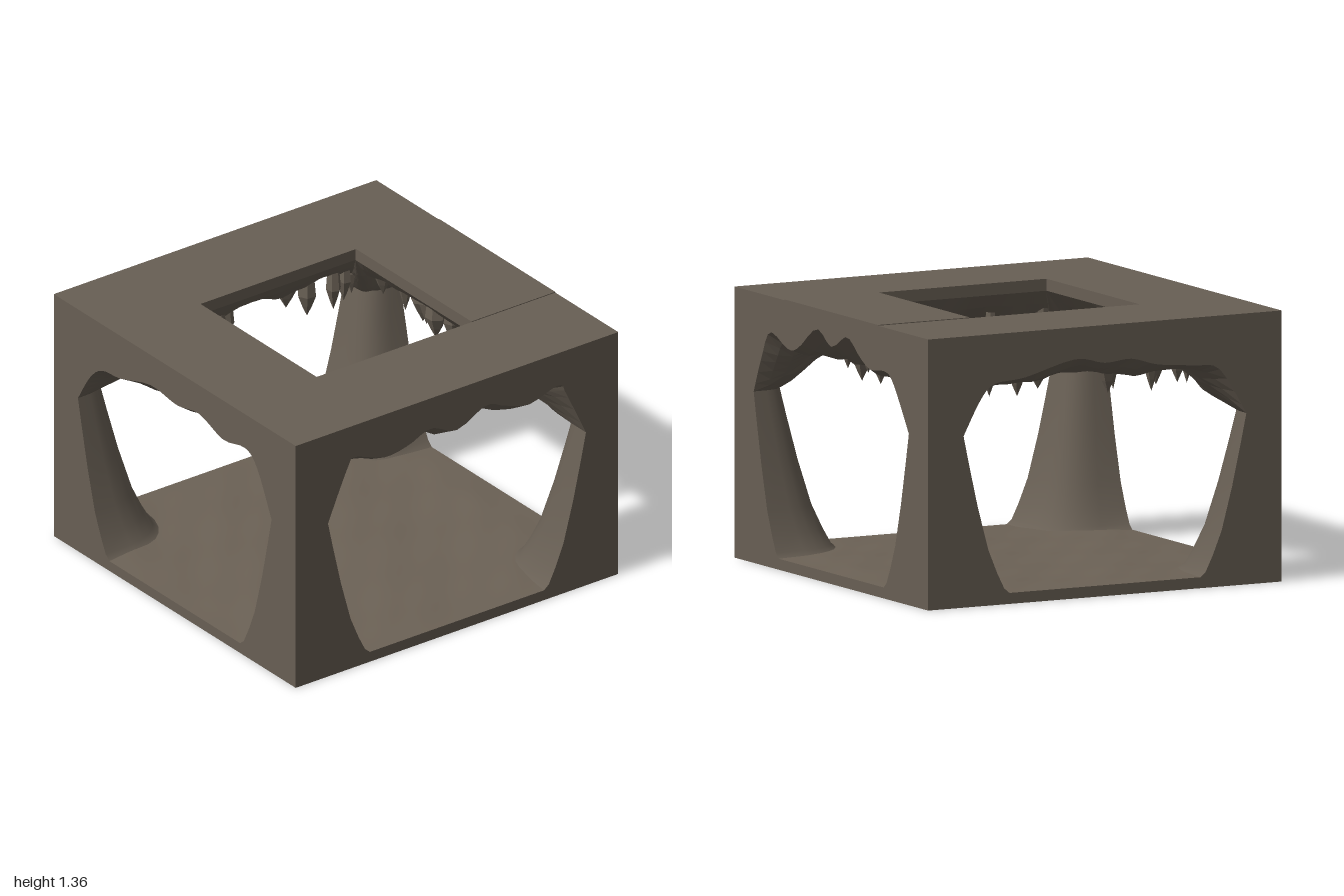
import * as THREE from 'three';

const HEIGHT = 1.36, HOLE = 0.48, LIP = 1.3, FLOOR = 0.055;
const SHOULDER = [0.8, 0.86];

// half width of every opening from the floor up to the shoulder
const JAMB = [[0.54, FLOOR], [0.57, 0.08], [0.61, 0.16], [0.66, 0.28], [0.72, 0.5], [0.77, 0.72], SHOULDER];

// ragged arch tops, seen from outside, left to right: front, +x side, back, -x side
const ARCHES = [
  [[-0.68, 1.13], [-0.63, 1.18], [-0.45, 1.12], [-0.3, 1.14], [-0.16, 1.19], [0, 1.13], [0.18, 1.21], [0.3, 1.17], [0.45, 1.13], [0.63, 1.18], [0.68, 1.11]],
  [[-0.72, 1.04], [-0.63, 1.18], [-0.45, 1.12], [-0.34, 1.14], [-0.15, 1.26], [0, 1.19], [0.16, 1.26], [0.29, 1.18], [0.4, 1.13], [0.55, 1.14], [0.64, 1.09]],
  [[-0.7, 1.04], [-0.62, 1.11], [-0.45, 1.13], [-0.17, 1.2], [0, 1.17], [0.15, 1.18], [0.3, 1.14], [0.5, 1.12], [0.65, 1.09]],
  [[-0.7, 1.02], [-0.6, 1.1], [-0.45, 1.12], [-0.2, 1.19], [0.02, 1.17], [0.2, 1.2], [0.4, 1.14], [0.58, 1.17], [0.68, 1.1]],
].map((pts) => new THREE.SplineCurve(
  [[-SHOULDER[0], SHOULDER[1]], ...pts, SHOULDER].map(([x, y]) => new THREE.Vector2(x, y))
).getPoints(40));

let seed = 7;
const rand = (a = 0, b = 1) => {
  seed = (seed * 16807) % 2147483647;
  return a + (b - a) * (seed / 2147483647);
};

const wave = (x, z) => Math.sin(9 * x + 4 * z) * 0.5 + Math.sin(13 * z - 6 * x + 1) * 0.3 + Math.sin(23 * x + 19 * z) * 0.2;

// surface through rows of points, all rows the same length
function loft(rows, flat) {
  const n = rows[0].length, index = [];
  for (let r = 0; r < rows.length - 1; r++) {
    for (let i = 0; i < n - 1; i++) {
      const a = r * n + i, b = a + n;
      index.push(a, b, a + 1, a + 1, b, b + 1);
    }
  }
  let geo = new THREE.BufferGeometry();
  geo.setAttribute('position', new THREE.Float32BufferAttribute(rows.flat(2), 3));
  geo.setIndex(index);
  if (flat) geo = geo.toNonIndexed();
  geo.computeVertexNormals();
  return geo;
}

// turn a point of the front side onto side k
function turn([x, y, z], k) {
  const c = [1, 0, -1, 0][k], s = [0, 1, 0, -1][k];
  return [x * c + z * s, y, z * c - x * s];
}

// rounded pillar section between two neighbouring openings
function pillarRow(a, y, steps = 8) {
  const row = [];
  for (let i = 0; i <= steps; i++) {
    const t = (i / steps) * Math.PI / 2;
    const cx = i === steps ? 0 : Math.cos(t) ** 0.6, cz = Math.sin(t) ** 0.6;
    row.push([1 - (1 - a) * cx, y, 1 - (1 - a) * cz]);
  }
  return row;
}

export function createModel() {
  const model = new THREE.Group();
  model.name = 'caveBlock';
  const stone = new THREE.MeshStandardMaterial({ color: 0x685f54 });
  stone.name = 'stone';
  const floorStone = new THREE.MeshStandardMaterial({ color: 0x6c6256 });
  floorStone.name = 'floorStone';
  const add = (name, geo, mat = stone, parent = model) => {
    const mesh = new THREE.Mesh(geo, mat);
    mesh.name = name;
    parent.add(mesh);
    return mesh;
  };

  // outer walls with cave openings
  ARCHES.forEach((arch, k) => {
    const wall = new THREE.Shape([[-1, 0], [1, 0], [1, HEIGHT], [-1, HEIGHT]].map(([x, y]) => new THREE.Vector2(x, y)));
    const left = JAMB.slice(0, -1).map(([x, y]) => new THREE.Vector2(-x, y));
    const right = JAMB.slice(0, -1).reverse().map(([x, y]) => new THREE.Vector2(x, y));
    wall.holes.push(new THREE.Path([...left, ...arch, ...right]));
    const geo = new THREE.ShapeGeometry(wall);
    geo.translate(0, 0, 1);
    add('wall', geo).rotation.y = k * Math.PI / 2;
  });

  // roof with square skylight, its lip, and one slightly raised slab
  const roof = new THREE.Shape([[-1, -1], [1, -1], [1, 1], [-1, 1]].map(([x, y]) => new THREE.Vector2(x, y)));
  const H = [[-HOLE, HOLE], [HOLE, HOLE], [HOLE, -HOLE], [-HOLE, -HOLE]];
  roof.holes.push(new THREE.Path(H.map(([x, y]) => new THREE.Vector2(x, y))));
  const roofGeo = new THREE.ShapeGeometry(roof);
  roofGeo.rotateX(-Math.PI / 2);
  roofGeo.translate(0, HEIGHT, 0);
  add('roof', roofGeo);
  for (let k = 0; k < 4; k++) {
    const edge = (y) => [turn([-HOLE, y, HOLE], k), turn([HOLE, y, HOLE], k)];
    add('skylightLip', loft([edge(LIP), edge(HEIGHT)]));
  }
  const slab = add('roofSlab', new THREE.BoxGeometry(1 - HOLE, 0.004, 2 * HOLE));
  slab.position.set((1 + HOLE) / 2, HEIGHT + 0.002, 0);

  // underside and bumpy floor
  const base = new THREE.PlaneGeometry(2, 2);
  base.rotateX(Math.PI / 2);
  add('base', base);
  const floor = new THREE.PlaneGeometry(2, 2, 36, 36);
  floor.rotateX(-Math.PI / 2);
  const fp = floor.attributes.position;
  for (let i = 0; i < fp.count; i++) {
    const x = fp.getX(i), z = fp.getZ(i);
    const inside = Math.min(1, (1 - Math.max(Math.abs(x), Math.abs(z))) * 6);
    fp.setY(i, FLOOR + inside * (0.006 + 0.007 * wave(x, z)));
  }
  floor.computeVertexNormals();
  add('floor', floor, floorStone);

  // corner pillars, flared at the foot, with rubble around it
  for (let k = 0; k < 4; k++) {
    const rows = JAMB.map(([a, y]) => pillarRow(a, y).map((p) => turn(p, k)));
    add('pillar', loft(rows));
    for (let i = 0; i < 5; i++) {
      const h = rand(0.07, 0.2), r = rand(0.04, 0.07);
      const rock = new THREE.ConeGeometry(r, h, 5, 1, true).toNonIndexed();
      rock.computeVertexNormals();
      const t = 0.67 + h * 0.25, off = rand(0, 0.16);
      const [x, , z] = turn(i % 2 ? [t + off, 0, t] : [t, 0, t + off], k);
      const mesh = add('rubble', rock);
      mesh.position.set(x, FLOOR + h / 2 - 0.005, z);
      mesh.rotation.y = rand(0, 6);
    }
  }

  // ceiling ring lofted from the openings to the skylight
  const rim = [], lip = [], sag = [];
  ARCHES.forEach((arch, k) => {
    arch.forEach((p) => {
      rim.push(turn([p.x, p.y, 1], k));
      lip.push(turn([p.x / SHOULDER[0] * HOLE, LIP, HOLE], k));
      sag.push(0.96 + 0.04 * Math.abs(p.x));
    });
    pillarRow(...SHOULDER).slice(1, -1).forEach((p) => {
      rim.push(turn(p, k));
      lip.push(turn([HOLE, LIP, HOLE], k));
      sag.push(1);
    });
  });
  rim.push(rim[0]); lip.push(lip[0]); sag.push(sag[0]);
  const STEPS = 8, ceiling = [];
  for (let r = 0; r <= STEPS; r++) {
    const v = r / STEPS;
    ceiling.push(rim.map((p, i) => {
      const x = p[0] + (lip[i][0] - p[0]) * v, z = p[2] + (lip[i][2] - p[2]) * v;
      const y = (1 - v) ** 2 * p[1] + 2 * v * (1 - v) * sag[i] + v * v * LIP;
      return [x, y + 0.035 * Math.sin(Math.PI * v) * wave(x * 1.5, z * 1.5), z];
    }));
  }
  add('ceiling', loft(ceiling, true));

  // faceted stalactites in clusters around the skylight
  const stalactites = new THREE.Group();
  stalactites.name = 'stalactites';
  model.add(stalactites);
  const along = [
    [-0.6, -0.52, -0.44, -0.3, -0.22, 0.2, 0.27, 0.42, 0.5, 0.58],
    [-0.58, -0.3, -0.22, -0.14, -0.03, 0.05, 0.16, 0.24, 0.32, 0.56],
  ];
  for (let k = 0; k < 4; k++) {
    for (const s of along[k % 2]) {
      const tip = rand(0.96, 1.03), r = rand(0.032, 0.06);
      const profile = [[0, tip], [r * 0.55, tip + 0.06], [r, tip + 0.12], [r * 0.8, 1.2]];
      const geo = new THREE.LatheGeometry(profile.map(([x, y]) => new THREE.Vector2(x, y)), 6).toNonIndexed();
      geo.computeVertexNormals();
      const [x, , z] = turn([s, 0, rand(0.58, 0.72)], k);
      const mesh = add('stalactite', geo, stone, stalactites);
      mesh.position.set(x, 0, z);
      mesh.rotation.y = rand(0, 6);
      mesh.scale.z = rand(0.7, 1.1);
    }
  }
  return model;
}
